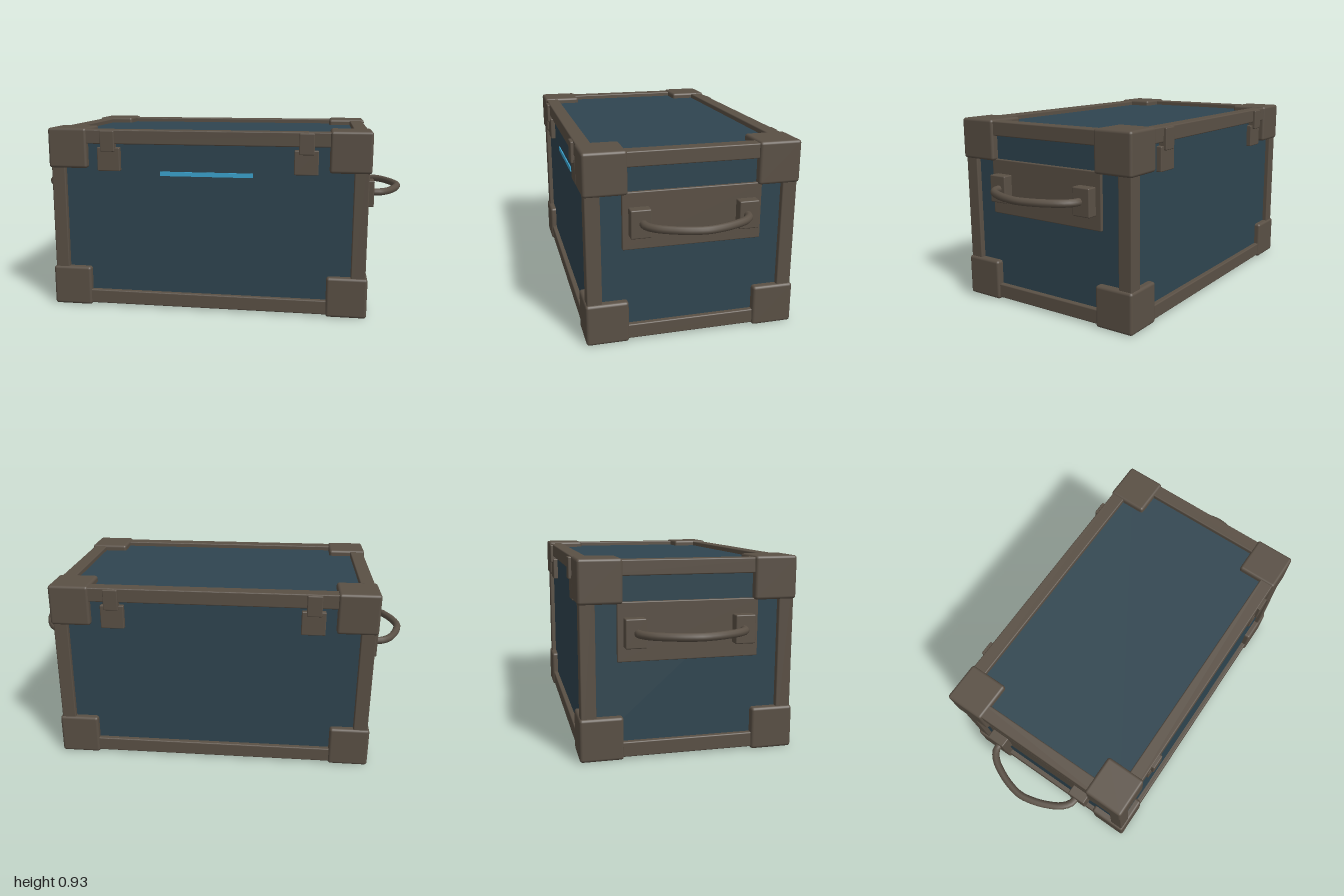
import * as THREE from 'three';
import { RoundedBoxGeometry } from 'three/addons/geometries/RoundedBoxGeometry.js';

export function createModel() {
  const root = new THREE.Group();
  root.name = 'storageCrate';

  const mat = (name, color) => {
    const m = new THREE.MeshStandardMaterial({ color });
    m.name = name;
    return m;
  };
  const brown = mat('brownTrim', 0x5a5045);
  const blue = mat('bluePanel', 0x2f4550);
  const glow = mat('lightBlue', 0x3ba4d0);

  // Box given by its min and max corners, with softened edges if r > 0
  const box = (name, material, a, b, r = 0, parent = root) => {
    const s = a.map((v, i) => Math.abs(b[i] - v));
    const geo = r > 0 ? new RoundedBoxGeometry(...s, 2, r) : new THREE.BoxGeometry(...s);
    const mesh = new THREE.Mesh(geo, material);
    mesh.position.set(...a.map((v, i) => (v + b[i]) / 2));
    mesh.name = name;
    parent.add(mesh);
    return mesh;
  };

  // Body panels, slightly recessed behind the frame
  box('body', blue, [-0.775, 0.035, -0.483], [0.775, 0.9, 0.483]);

  // Frame rails along each axis
  const X = 0.8, Z = 0.508, T = 0.072, Y0 = 0.01, Y1 = 0.924;
  for (const s of [-1, 1]) {
    for (const [lo, hi] of [[Y0, Y0 + T], [Y1 - T, Y1]]) {
      box('longRail', brown, [-0.75, lo, s * (Z - T)], [0.75, hi, s * Z], 0.006);
      box('sideRail', brown, [s * (X - T), lo, -0.45], [s * X, hi, 0.45], 0.006);
    }
    for (const t of [-1, 1]) {
      box('cornerPost', brown, [s * (X - T), 0.05, t * (Z - T)], [s * X, 0.88, t * Z], 0.006);
      // Protective corner blocks
      for (const [lo, hi] of [[0, 0.205], [0.727, 0.931]]) {
        box('cornerBlock', brown, [s * 0.609, lo, t * 0.311], [s * 0.811, hi, t * 0.516], 0.014);
      }
      // Latches on the front and back
      const latch = new THREE.Group();
      latch.name = 'latch';
      root.add(latch);
      box('latchBase', brown, [s * 0.438, 0.715, t * 0.47], [s * 0.556, 0.835, t * 0.509], 0.005, latch);
      box('latchClasp', brown, [s * 0.461, 0.815, t * 0.48], [s * 0.535, 0.92, t * 0.523], 0.005, latch);
    }
  }

  // Light strip on the front
  box('lightStrip', glow, [-0.235, 0.693, 0.48], [0.235, 0.715, 0.489]);

  // Carrying handles: plate, two mounts and a bowed bar
  const half = [[0.82, 0.25], [0.865, 0.245], [0.908, 0.21], [0.946, 0.14], [0.97, 0.07]];
  for (const s of [-1, 1]) {
    const handle = new THREE.Group();
    handle.name = s > 0 ? 'leftHandle' : 'rightHandle';
    root.add(handle);
    box('handlePlate', brown, [s * 0.76, 0.459, -0.336], [s * 0.79, 0.735, 0.336], 0.005, handle);
    for (const t of [-1, 1]) {
      box('handleMount', brown, [s * 0.77, 0.528, t * 0.21], [s * 0.84, 0.664, t * 0.307], 0.006, handle);
    }
    const path = [...half, [0.981, 0], ...half.map(([x, z]) => [x, -z]).reverse()]
      .map(([x, z]) => new THREE.Vector3(s * x, 0.598, z));
    const bar = new THREE.Mesh(
      new THREE.TubeGeometry(new THREE.CatmullRomCurve3(path), 28, 0.019, 10), brown);
    bar.name = 'handleBar';
    handle.add(bar);
  }

  return root;
}
